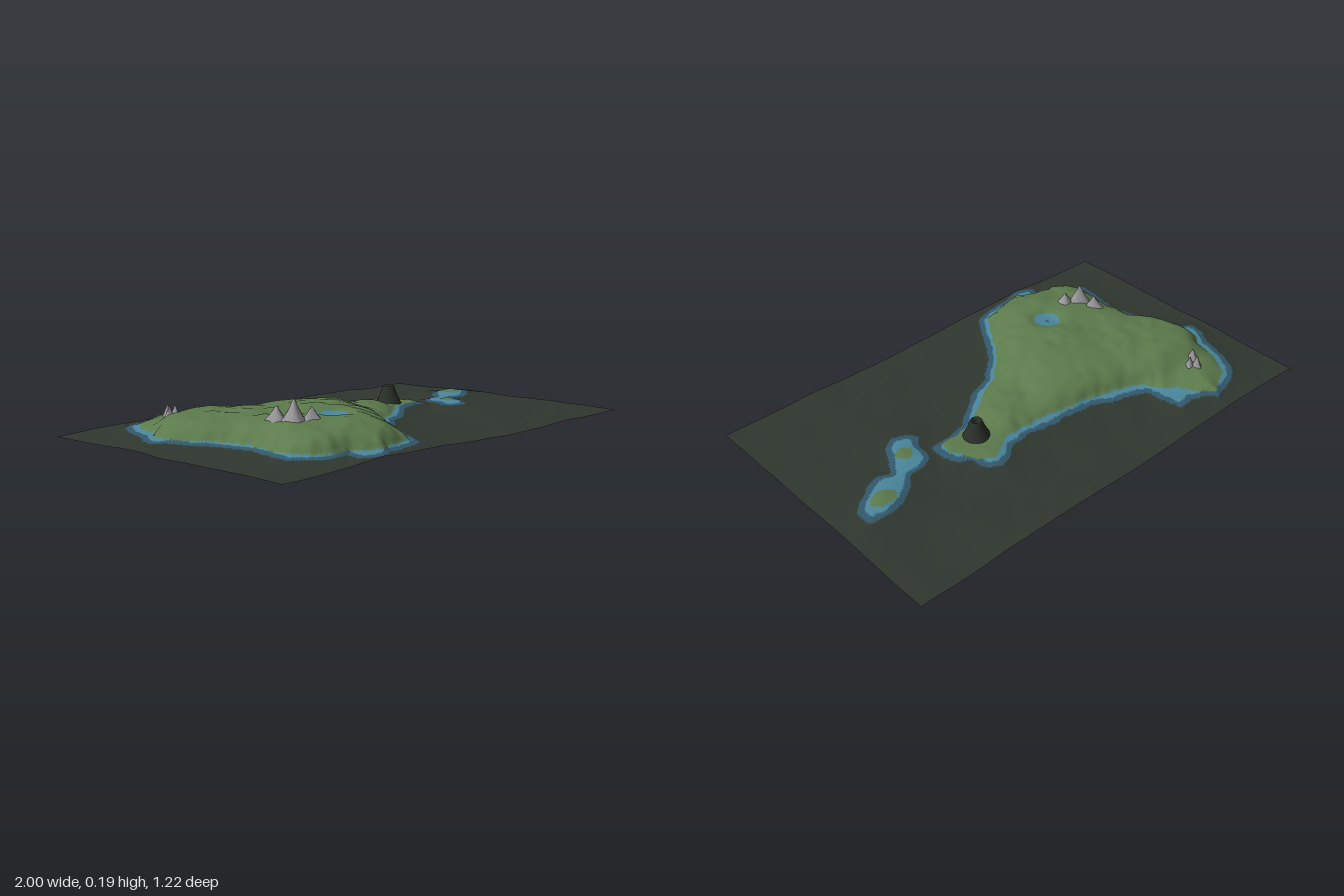
import * as THREE from 'three';

const mat = (name, color) => {
  const m = new THREE.MeshStandardMaterial({ color, side: THREE.DoubleSide });
  m.name = name;
  return m;
};

// Coast and reef outlines as x, z pairs
const pairs = a => a.reduce((r, v, i) => (i % 2 ? r[r.length - 1].push(v) : r.push([v]), r), []);
const coast = pairs([
  -.61, -.53, -.56, -.49, -.53, -.45, -.51, -.40, -.46, -.37, -.43, -.31, -.38, -.27, -.30, -.25, -.20, -.22,
  -.08, -.195, .03, -.18, .14, -.17, .22, -.17, .28, -.20, .34, -.24, .39, -.20, .42, -.14, .45, -.09, .43, -.04,
  .35, -.03, .26, -.01, .17, .05, .09, .11, 0, .155, -.09, .24, -.16, .33, -.22, .42, -.28, .51, -.37, .535,
  -.47, .56, -.57, .51, -.65, .495, -.72, .46, -.76, .40, -.76, .30, -.74, .20, -.76, .08, -.81, 0, -.86, -.10,
  -.86, -.19, -.81, -.27, -.78, -.38, -.73, -.46, -.67, -.49]);
const reef = pairs([
  -.59, -.55, -.57, -.52, -.50, -.49, -.43, -.50, -.41, -.42, -.40, -.34, -.35, -.31, -.26, -.29, -.18, -.25,
  -.07, -.23, .03, -.23, .14, -.21, .24, -.22, .28, -.26, .34, -.28, .40, -.25, .41, -.18, .46, -.15, .48, -.08,
  .47, -.02, .38, -.01, .30, .01, .22, .07, .14, .14, .03, .18, -.07, .27, -.14, .36, -.19, .45, -.25, .54,
  -.34, .57, -.45, .58, -.53, .61, -.61, .58, -.60, .52, -.69, .52, -.75, .48, -.80, .42, -.79, .32, -.77, .22,
  -.80, .08, -.85, -.01, -.88, -.10, -.92, -.13, -.91, -.20, -.87, -.26, -.84, -.37, -.80, -.45, -.74, -.51, -.66, -.53]);
const isletReef = pairs([
  .47, .07, .49, .11, .55, .13, .61, .10, .64, .03, .68, -.03, .74, -.01, .81, -.05, .87, -.09, .91, -.13,
  .90, -.20, .82, -.21, .74, -.19, .68, -.15, .63, -.09, .57, -.09, .51, -.06, .50, .02]);

// Signed distance to a polygon, positive inside
function inside(poly, x, z) {
  let best = 9, within = false;
  poly.forEach(([ax, az], i) => {
    const [bx, bz] = poly[(i + 1) % poly.length];
    const ex = bx - ax, ez = bz - az;
    const t = THREE.MathUtils.clamp(((x - ax) * ex + (z - az) * ez) / (ex * ex + ez * ez), 0, 1);
    best = Math.min(best, Math.hypot(x - ax - t * ex, z - az - t * ez));
    if ((az > z) !== (bz > z) && x < ax + ex * (z - az) / ez) within = !within;
  });
  return within ? best : -best;
}

// Smooth value noise in -1..1
const hash = (i, j) => {
  const s = Math.sin(i * 127.1 + j * 311.7) * 43758.5453;
  return (s - Math.floor(s)) * 2 - 1;
};
function noise(x, z) {
  const i = Math.floor(x), j = Math.floor(z);
  const u = THREE.MathUtils.smoothstep(x - i, 0, 1), v = THREE.MathUtils.smoothstep(z - j, 0, 1);
  const mix = THREE.MathUtils.lerp;
  return mix(mix(hash(i, j), hash(i + 1, j), u), mix(hash(i, j + 1), hash(i + 1, j + 1), u), v);
}

const blob = (x, z, cx, cz, rx, rz) => (1 - Math.hypot((x - cx) / rx, (z - cz) / rz)) * Math.min(rx, rz);
const step = THREE.MathUtils.smoothstep;

// Height and zone (0 sea bed, 1 deep, 2 shallow, 3 land) at a point
function sample(x, z) {
  const wobble = .006 * noise(x * 28, z * 28);
  const land = Math.max(inside(coast, x, z), blob(x, z, .58, .02, .035, .035), blob(x, z, .79, -.13, .06, .04)) + wobble;
  const shelf = Math.max(inside(reef, x, z), inside(isletReef, x, z), land + .006) + wobble * .6;
  const pond = blob(x, z, -.385, .24, .055, .055) + wobble;
  let y, zone;
  if (land > 0) {
    let top = .126 - .038 * step(x, -.2, .02) - .03 * step(x, .16, .27);
    top -= .05 * step(-z, .25, .36) * (1 - step(x, -.3, -.1));
    top += .014 * Math.exp(-((x + .25) ** 2 + (z + .02) ** 2) / .03);
    const rise = 1 - Math.exp(-land / .055);
    const rough = .009 * noise(x * 9 + z * 3, z * 8) + .004 * noise(x * 22, z * 22);
    y = .044 + (top - .044 + rough) * rise - .012 * step(pond, -.04, .02);
    zone = pond > 0 ? (pond > .047 ? 1 : 2) : 3;
  } else if (shelf > 0) {
    y = .035 + .009 * shelf / (shelf - land);
    zone = shelf > .024 ? 2 : 1;
  } else {
    const far = Math.exp(shelf / .12);
    y = .012 + .023 * far + (1 - far) * (.006 * noise(x * 5 + 3, z * 5) + .0015 * noise(x * 14, z * 14));
    zone = 0;
  }
  return [y, zone];
}

const W = 220, D = 134, HALF = .612;
let lowest = 0;

// Terrain sheet, its triangles grouped by zone
function terrain(materials) {
  const g = new THREE.PlaneGeometry(2, HALF * 2, W, D).rotateX(-Math.PI / 2);
  const p = g.attributes.position, zones = [];
  lowest = 1;
  for (let i = 0; i < p.count; i++) {
    const [y, zone] = sample(p.getX(i), p.getZ(i));
    p.setY(i, y);
    zones.push(zone);
    lowest = Math.min(lowest, y);
  }
  g.translate(0, -lowest, 0);
  const lists = materials.map(() => []), idx = g.index.array;
  for (let i = 0; i < idx.length; i += 3) {
    const tri = [idx[i], idx[i + 1], idx[i + 2]];
    const zone = tri.map(k => zones[k]).sort()[1];
    lists[zone].push(...tri);
  }
  g.setIndex(lists.flat());
  let start = 0;
  lists.forEach((l, k) => { g.addGroup(start, l.length, k); start += l.length; });
  g.computeVertexNormals();
  const mesh = new THREE.Mesh(g, materials);
  mesh.name = 'terrain';
  return mesh;
}

// Concave rocky spire with an uneven, ridged flank
function spire(material, x, z, peak, rx, rz, turn) {
  const base = sample(x, z)[0] - lowest - .012, h = peak - base;
  const profile = [[1.1, 0], [.85, .2], [.55, .45], [.3, .7], [.14, .9], [0, 1]];
  const g = new THREE.LatheGeometry(profile.map(([r, y]) => new THREE.Vector2(r, y * h)), 12);
  const p = g.attributes.position;
  for (let i = 0; i < p.count; i++) {
    const a = Math.atan2(p.getZ(i), p.getX(i));
    const k = 1 + .14 * Math.sin(a * 3 + x * 40) + .08 * Math.sin(a * 5 + z * 60);
    p.setX(i, p.getX(i) * k * rx);
    p.setZ(i, p.getZ(i) * k * rz);
  }
  g.computeVertexNormals();
  const mesh = new THREE.Mesh(g, material);
  mesh.position.set(x, base, z);
  mesh.rotation.y = turn;
  mesh.name = 'rockSpire';
  return mesh;
}

export function createModel() {
  const model = new THREE.Group();
  model.name = 'island';
  const zones = [mat('sea bed', 0x2f372f), mat('deep water', 0x31576b), mat('shallow water', 0x4a869c), mat('grass', 0x5c7a4c)];
  const rock = mat('rock', 0x969496), lava = mat('dark lava', 0x2b2f29);
  model.add(terrain(zones));

  // Southern and northern rock clusters
  const rocks = new THREE.Group();
  rocks.name = 'rocks';
  [[-.597, .255, .195, .045, .045, 0], [-.615, .185, .165, .032, .042, .2], [-.54, .285, .165, .04, .035, .4],
    [-.65, -.385, .115, .022, .024, 0], [-.68, -.335, .115, .028, .024, .5], [-.63, -.362, .112, .024, .02, 1]]
    .forEach(r => rocks.add(spire(rock, ...r)));
  model.add(rocks);

  // Volcano: open cone with a turned-in crater lip
  const cone = [[.058, .035], [.046, .058], [.034, .085], [.026, .108], [.022, .115], [.016, .106], [.013, .085]];
  const volcano = new THREE.Mesh(new THREE.LatheGeometry(cone.map(c => new THREE.Vector2(...c)), 20), lava);
  volcano.position.set(.305, 0, -.088);
  volcano.name = 'volcano';
  model.add(volcano);
  return model;
}
